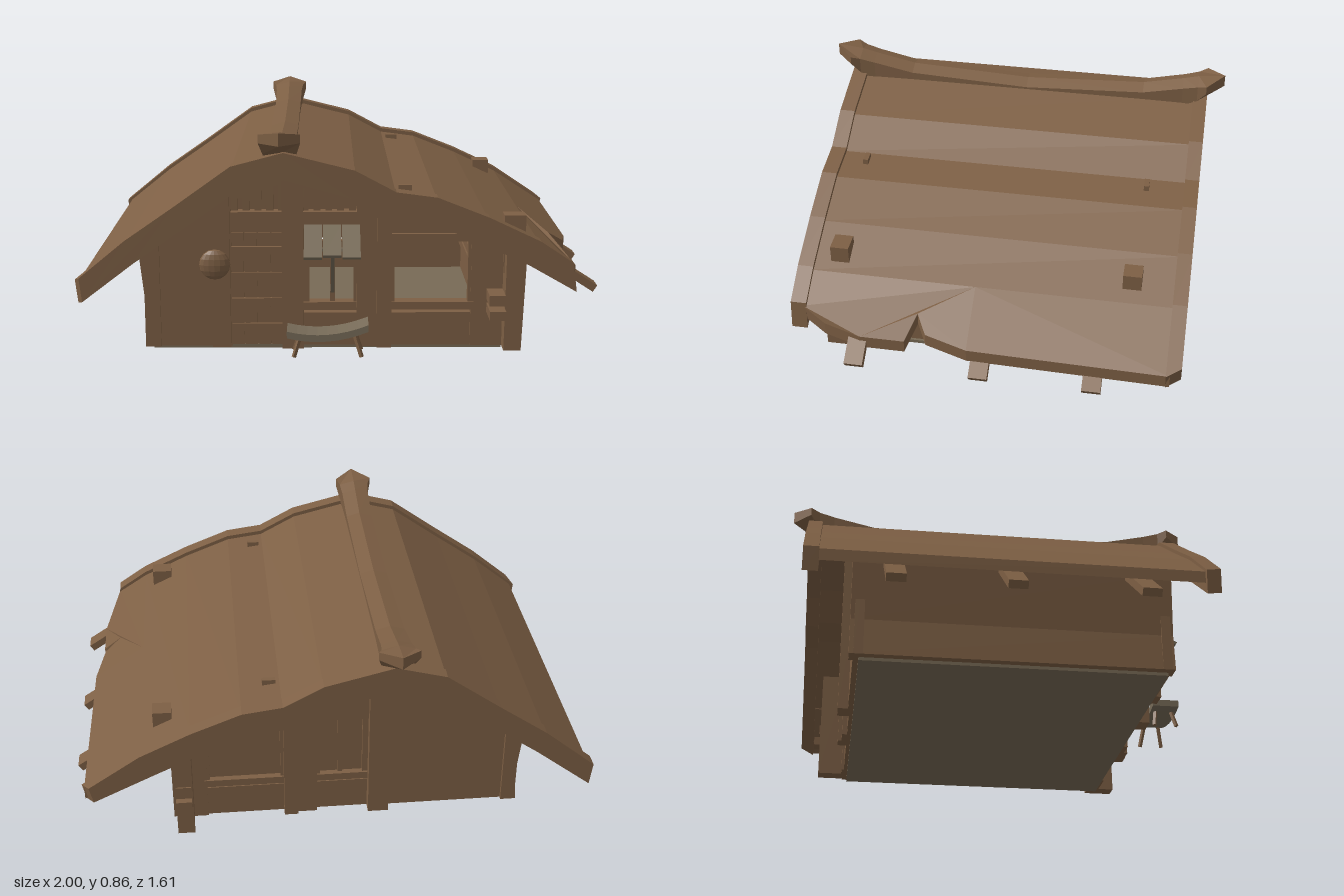
import * as THREE from 'three';

const mat = (name, color) => {
  const m = new THREE.MeshStandardMaterial({ color, flatShading: true });
  m.name = name;
  return m;
};

export function createModel() {
  const house = new THREE.Group();
  house.name = 'longhouse';
  const wood = mat('brown wood', 0x7d5f44);
  const grey = mat('weathered wood', 0x776b58);
  const stone = mat('floor', 0x786a55);

  const add = (name, geo, m = wood) => {
    const mesh = new THREE.Mesh(geo, m);
    mesh.name = name;
    house.add(mesh);
    return mesh;
  };
  // box from its limits
  const box = (name, x0, x1, y0, y1, z0, z1, m) => {
    const mesh = add(name, new THREE.BoxGeometry(x1 - x0, y1 - y0, z1 - z0), m);
    mesh.position.set((x0 + x1) / 2, (y0 + y1) / 2, (z0 + z1) / 2);
    return mesh;
  };
  // x,y outline pushed from z0 to z1
  const slab = (name, pts, z0, z1, m) => {
    const geo = new THREE.ExtrudeGeometry(new THREE.Shape(pts.map(p => new THREE.Vector2(p[0], p[1]))),
      { depth: z1 - z0, bevelEnabled: false });
    geo.translate(0, 0, z0);
    return add(name, geo, m);
  };
  // square bar between two points
  const bar = (name, a, b, w, h, m) => {
    const A = new THREE.Vector3(...a), B = new THREE.Vector3(...b);
    const mesh = add(name, new THREE.BoxGeometry(w, h, A.distanceTo(B)), m);
    mesh.position.copy(A).add(B).multiplyScalar(0.5);
    mesh.lookAt(B);
    return mesh;
  };
  // move every vertex by a rule
  const bend = (geo, rule) => {
    const p = geo.attributes.position;
    for (let i = 0; i < p.count; i++) p.setXYZ(i, ...rule(p.getX(i), p.getY(i), p.getZ(i)));
    geo.computeVertexNormals();
    return geo;
  };

  // roof curve, top of the gable boards
  const top = [[-0.975, 0.295], [-0.78, 0.455], [-0.6, 0.58], [-0.39, 0.73], [-0.2, 0.78], [0.06, 0.715],
    [0.21, 0.635], [0.36, 0.615], [0.55, 0.54], [0.74, 0.45]];
  const roofY = x => {
    const p = [...top, [0.97, 0.30]];
    let i = 0;
    while (i < p.length - 2 && x > p[i + 1][0]) i++;
    return p[i][1] + (p[i + 1][1] - p[i][1]) * (x - p[i][0]) / (p[i + 1][0] - p[i][0]);
  };
  const low = [[-0.965, 0.205], [-0.75, 0.37], [-0.55, 0.51], [-0.38, 0.63], [-0.2, 0.68], [0.05, 0.61],
    [0.18, 0.54], [0.35, 0.515], [0.55, 0.43], [0.7, 0.36]];

  // roof covering
  const cover = [[-0.955, 0.298], ...top.slice(1).map(([x, y]) => [x, y - 0.016])];
  slab('roof', [...cover, ...cover.map(([x, y]) => [x, y - 0.045]).reverse()], -0.7, 0.69);

  // right eave: outlines in x,z sheared down the slope, the broken front corner sagging
  const backEdge = [[0.74, -0.7], [0.955, -0.7], [0.945, 0.05], [0.74, 0.05]];
  const frontEdge = [[0.74, 0.05], [0.945, 0.05], [0.91, 0.21], [0.845, 0.25], [0.92, 0.29],
    [0.92, 0.46], [0.89, 0.6], [0.86, 0.69], [0.74, 0.69]];
  for (const [name, edge] of [['eave', backEdge], ['brokenEave', frontEdge]]) {
    const geo = new THREE.ExtrudeGeometry(new THREE.Shape(edge.map(([x, z]) => new THREE.Vector2(x, -z))),
      { depth: 0.05, bevelEnabled: false });
    geo.rotateX(-Math.PI / 2);
    add(name, bend(geo, (x, y, z) =>
      [x, y + 0.384 - 0.65 * (x - 0.74) - (x > 0.88 && z > 0.25 ? 0.03 : 0), z]));
  }

  // curved gable boards, two ends cut back at an angle
  const frontBoard = slab('frontGableBoard',
    [...top, [0.86, 0.37], [0.875, 0.26], ...[...low].reverse()], 0.675, 0.735);
  bend(frontBoard.geometry, (x, y, z) => x < -0.9 && z > 0.7 ? [x + 0.025, y + 0.02, z] : [x, y, z]);
  const backBoard = slab('backGableBoard',
    [...top, [0.965, 0.30], [0.95, 0.235], ...[...low].reverse()], -0.74, -0.685);
  bend(backBoard.geometry, (x, y, z) => x > 0.9 && z < -0.7 ? [x - 0.03, y + 0.02, z] : [x, y, z]);

  // sagging ridge beam with flared, pointed ends
  const rows = [[0, 0.055, 0.772, 0.70], [0.48, 0.055, 0.795, 0.72], [0.64, 0.057, 0.83, 0.74],
    [0.7, 0.062, 0.845, 0.77], [0.735, 0.076, 0.857, 0.815]];
  add('ridgeBeam', bend(new THREE.BoxGeometry(2, 2, 2, 2, 1, 8), (px, py, pz) => {
    const s = Math.round(pz * 4), k = Math.abs(s), x = Math.round(px);
    const [z, w, yt, yb] = rows[k];
    const tip = k === 4 && x === 0 ? 0.07 : 0;
    return [-0.213 + x * w, py > 0 ? yt + (x ? -0.01 : 0.006) : yb, Math.sign(s) * (z + tip)];
  }));

  // rafters poking out under both eaves
  for (const z of [0.47, 0, -0.42]) {
    bar('rightRafter', [0.99, 0.205, z], [0.62, 0.445, z], 0.07, 0.03);
    bar('leftRafter', [-0.99, 0.185, z], [-0.62, 0.472, z], 0.07, 0.03);
  }

  // post tops and pegs coming through the roof
  box('roofPost', 0.62, 0.69, 0.3, 0.52, -0.565, -0.495);
  box('roofPost', 0.62, 0.7, 0.3, 0.52, 0.545, 0.615);
  for (const z of [-0.54, 0.58]) box('roofPeg', 0.225, 0.275, 0.58, 0.632, z - 0.01, z + 0.01);

  // floor
  box('floor', -0.7, 0.62, 0, 0.014, -0.53, 0.59, stone);

  // left side wall, slightly bowed
  slab('leftWall', [[-0.73, 0.012], [-0.722, 0.15], [-0.748, 0.395], [-0.67, 0.44], [-0.67, 0.012]], -0.565, 0.61);

  // right side wall with rails and a gap
  box('rightLowerWall', 0.575, 0.61, 0.012, 0.14, -0.56, 0.58);
  box('rightRail', 0.56, 0.62, 0.145, 0.18, -0.68, 0.72);
  box('rightRail', 0.56, 0.62, 0.195, 0.235, -0.66, 0.7);
  box('rightUpperWall', 0.575, 0.605, 0.235, 0.455, -0.56, -0.02);
  box('rightUpperWall', 0.575, 0.605, 0.235, 0.455, 0.16, 0.58);
  box('rightPost', 0.59, 0.635, 0.012, 0.43, 0.435, 0.49);
  box('rightPost', 0.59, 0.635, 0.012, 0.43, -0.55, -0.495);
  slab('frontCornerPost', [[0.62, 0.012], [0.685, 0.012], [0.7, 0.4], [0.625, 0.44]], 0.555, 0.67);
  slab('backCornerPost', [[0.555, 0.012], [0.62, 0.012], [0.62, 0.44], [0.555, 0.47]], -0.655, -0.55);

  // gable walls, s = 1 front and -1 back
  for (const s of [1, -1]) {
    const zr = (a, b) => s > 0 ? [a - 0.02, b - 0.02] : [0.07 - b, 0.07 - a];
    const wall = (n, x0, x1, y0, y1, a = 0.58, b = 0.615) => box(n, x0, x1, y0, y1, ...zr(a, b));
    const upTo = (n, x0, x1, y0, a, b) => slab(n,
      [[x0, y0], [x1, y0], [x1, roofY(x1) - 0.04], [x0, roofY(x0) - 0.04]], ...zr(a, b));

    upTo('solidWall', -0.73, -0.6, 0.012, 0.585, 0.62);
    upTo('solidWall', -0.6, -0.4, 0.012, 0.585, 0.62);
    upTo('tallPost', -0.21, -0.13, 0.012, 0.58, 0.66);
    wall('post', 0.07, 0.145, 0.012, 0.62, 0.58, 0.635);
    wall('post', 0.145, 0.2, 0.012, 0.56, 0.58, 0.65);
    upTo('wallEnd', 0.5, 0.62, 0.012, 0.58, 0.625);

    // low wall, sills and lintels around the bays
    for (const [x0, x1, yt] of [[-0.13, 0.08, 0.47], [0.19, 0.51, 0.45]]) {
      wall('lowWall', x0, x1, 0.012, 0.14);
      wall('sill', x0, x1, 0.155, 0.185, 0.58, 0.63);
      wall('lintel', x0, x1, yt - 0.03, yt, 0.58, 0.63);
      if (s < 0) wall('backPanel', x0, x1, 0.18, yt - 0.02, 0.585, 0.605);
      wall('bayFrame', x0, x0 + 0.022, 0.185, yt - 0.03, 0.595, 0.622);
      wall('bayFrame', x1 - 0.022, x1, 0.185, yt - 0.03, 0.595, 0.622);
    }
    wall('mullion', -0.03, -0.012, 0.185, 0.44, 0.595, 0.615);
    wall('tieBeam', s > 0 ? -0.4 : -0.2, 0.3, 0.465, 0.535, 0.58, 0.635);
    upTo('gableFill', 0.2, 0.36, 0.45, 0.585, 0.615);
    upTo('gableFill', 0.36, 0.51, 0.45, 0.585, 0.615);

    // gable slats under a sloping rail
    for (let x = s > 0 ? -0.4 : -0.136; x < 0.06; x += 0.044) upTo('gableSlat', x, x + 0.026, 0.53, 0.59, 0.61);
    slab('gableRail', [[-0.2, 0.72], [0.06, 0.65], [0.06, 0.575], [-0.2, 0.645]], ...zr(0.58, 0.625));
  }

  // front post and door of planks and rails; solid wall at the back
  slab('doorRafter', [[-0.4, 0.66], [-0.2, 0.72], [-0.2, 0.645], [-0.4, 0.575]], 0.56, 0.605);
  slab('doorPost', [[-0.475, 0.012], [-0.405, 0.012], [-0.405, 0.66], [-0.475, 0.61]], 0.57, 0.62);
  slab('backWall', [[-0.41, 0.012], [-0.2, 0.012], [-0.2, 0.73], [-0.41, 0.67]], -0.55, -0.515);
  box('doorBacking', -0.41, -0.2, 0.012, 0.48, 0.56, 0.585);
  for (let i = 0; i < 4; i++) box('doorPlank', -0.4 + i * 0.05, -0.355 + i * 0.05, 0.015, 0.45, 0.58, 0.595);
  for (const y of [0.07, 0.17, 0.27, 0.37]) box('doorRail', -0.4, -0.205, y, y + 0.03, 0.59, 0.606);

  // round domed shield
  const shield = add('shield', new THREE.SphereGeometry(0.058, 16, 8));
  shield.scale.z = 0.4;
  shield.position.set(-0.46, 0.34, 0.635);

  // slatted awning on a strut
  for (let i = 0; i < 3; i++) {
    const x = -0.093 + i * 0.07;
    bar('awningSlat', [x, 0.49, 0.645], [x, 0.405 + (i % 2) * 0.006, 0.795], 0.066, 0.012, grey);
  }
  bar('awningStrut', [-0.021, 0.23, 0.61], [-0.021, 0.415, 0.78], 0.014, 0.014, grey);
  bar('awningBatten', [-0.125, 0.425, 0.745], [0.08, 0.425, 0.745], 0.012, 0.012, grey);

  // bench with a sagging, tilted seat
  const seat = bend(new THREE.BoxGeometry(0.3, 0.026, 0.105, 8, 1, 1),
    (x, y, z) => [x, y + 1.1 * x * x + 0.08 * x, z]);
  add('benchSeat', seat, grey).position.set(-0.04, 0.095, 0.715);
  for (const sx of [-1, 1]) for (const sz of [-1, 1]) {
    const x = -0.04 + sx * 0.1, z = 0.715 + sz * 0.03;
    bar('benchLeg', [x, 0.1, z], [x + sx * 0.025, 0.02, z + sz * 0.015], 0.012, 0.012);
  }
  return house;
}
